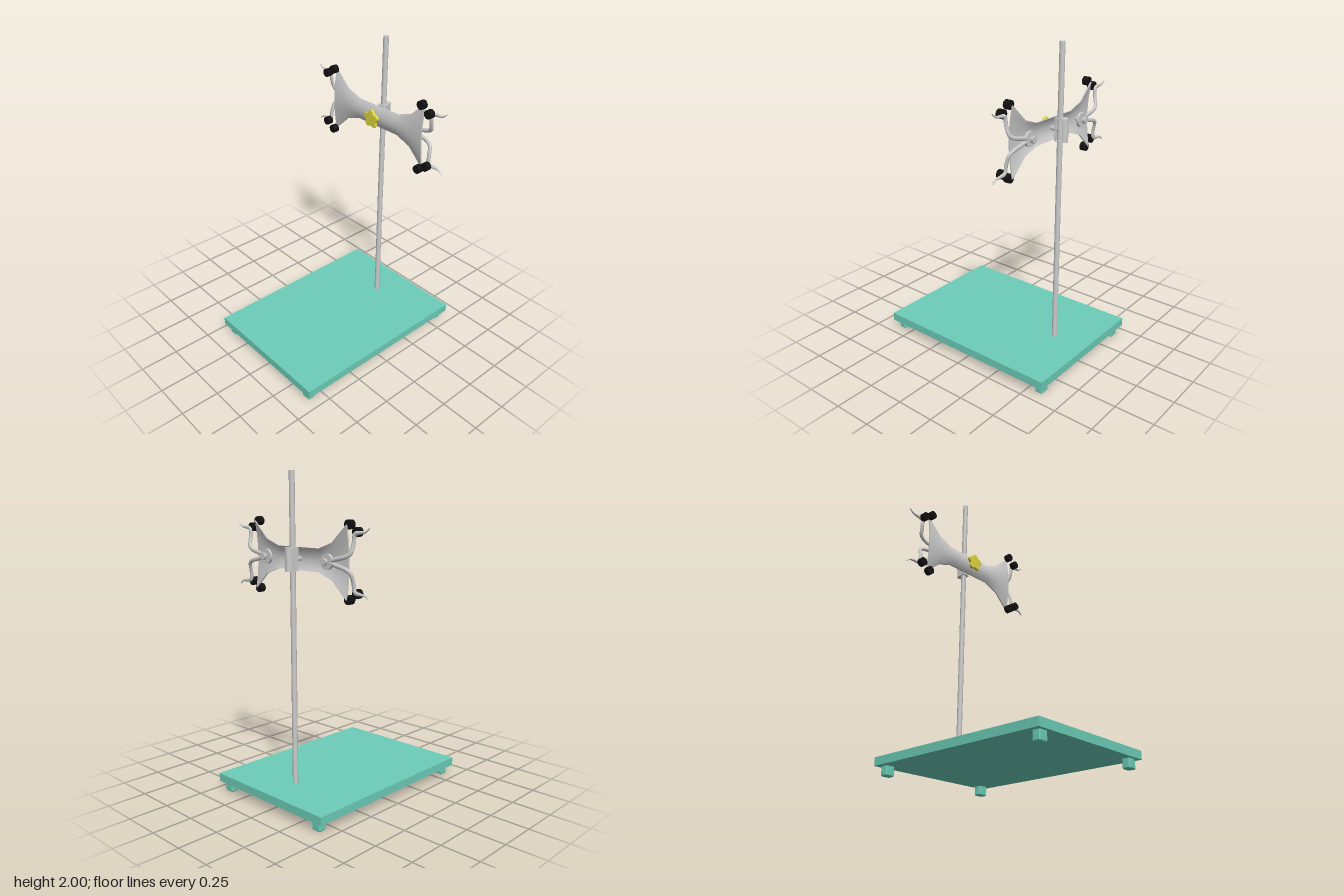
import * as THREE from 'three';
import { RoundedBoxGeometry } from 'three/addons/geometries/RoundedBoxGeometry.js';

const mat = (color) => new THREE.MeshStandardMaterial({ color, side: THREE.DoubleSide });
const CY = 1.494; // height of the clamp axis
const ROD_Z = -0.392;

export function createModel() {
  const grey = mat(0xcccccc), teal = mat(0x6ccdb8), black = mat(0x111111), yellow = mat(0xe0d840);
  const model = new THREE.Group();
  const add = (name, geo, material, x = 0, y = 0, z = 0, parent = model) => {
    const m = new THREE.Mesh(geo, material);
    m.name = name;
    m.position.set(x, y, z);
    parent.add(m);
    return m;
  };
  // cylinder lying along z
  const zCyl = (r, len, seg) => new THREE.CylinderGeometry(r, r, len, seg).rotateX(Math.PI / 2);

  // base board and its four feet
  add('base', new THREE.BoxGeometry(0.92, 0.052, 1.256), teal, 0, 0.086, 0);
  for (const sx of [-1, 1]) for (const sz of [-1, 1]) {
    add('foot', new RoundedBoxGeometry(0.064, 0.076, 0.052, 2, 0.01), teal, sx * 0.395, 0.038, sz * 0.58);
  }

  // upright rod
  add('rod', new THREE.CylinderGeometry(0.017, 0.017, 1.9, 16), grey, 0, 1.05, ROD_Z);

  // clamp body: flared shell, bowed across its height
  const stations = [-0.386, -0.275, -0.17, 0, 0.17, 0.275, 0.386];
  const halves = [0.209, 0.105, 0.068, 0.068, 0.068, 0.105, 0.209];
  const body = new THREE.BoxGeometry(6, 2, 1, 6, 12, 1);
  const p = body.attributes.position;
  for (let i = 0; i < p.count; i++) {
    const s = Math.round(p.getX(i) + 3), v = p.getY(i);
    p.setXYZ(i, stations[s], v * halves[s], -0.32 - 0.022 * v * v - (p.getZ(i) < 0 ? 0.009 : 0));
  }
  body.computeVertexNormals();
  add('clampBody', body, grey, 0, CY, 0);

  // hook that wraps the rod, open on one side, with a thin plate at each end
  const extrudeUp = (shape, depth) =>
    new THREE.ExtrudeGeometry(shape, { depth, bevelEnabled: false, curveSegments: 12 }).rotateX(-Math.PI / 2);
  const wall = new THREE.Shape();
  wall.moveTo(-0.024, 0.37);
  wall.lineTo(-0.024, 0.421);
  wall.absarc(0, 0.421, 0.024, Math.PI, 0, true);
  wall.lineTo(0.019, 0.421);
  wall.absarc(0, 0.421, 0.019, 0, Math.PI, false);
  wall.lineTo(-0.019, 0.37);
  wall.closePath();
  const cap = new THREE.Shape();
  cap.moveTo(0.024, 0.38);
  cap.lineTo(0.024, 0.421);
  cap.absarc(0, 0.421, 0.024, 0, Math.PI, false);
  cap.lineTo(-0.024, 0.38);
  cap.absarc(0, 0.386, 0.024, Math.PI, Math.PI * 2, false);
  const hook = new THREE.Group();
  hook.name = 'rodHook';
  model.add(hook);
  add('hookWall', extrudeUp(wall, 0.14), grey, 0, CY - 0.07, 0, hook);
  add('hookFront', new THREE.BoxGeometry(0.044, 0.14, 0.006), grey, 0, CY, -0.37, hook);
  for (const y of [-0.07, 0.065]) add('hookEnd', extrudeUp(cap, 0.005), grey, 0, CY + y, 0, hook);

  // tightening screw and five-lobed knob
  add('screw', zCyl(0.013, 0.11, 16), grey, 0, CY, -0.335);
  for (let i = 0; i < 5; i++) {
    add('screwThread', new THREE.TorusGeometry(0.0125, 0.0025, 6, 16), grey, 0, CY, -0.366 + i * 0.006);
  }
  const pts = [];
  for (let i = 0; i < 60; i++) {
    const a = (i / 60) * Math.PI * 2;
    const r = 0.05 + 0.008 * Math.cos(5 * a);
    pts.push(new THREE.Vector2(r * Math.sin(a), r * Math.cos(a)));
  }
  add('knob', new THREE.ExtrudeGeometry(new THREE.Shape(pts), {
    depth: 0.016, bevelThickness: 0.002, bevelSize: 0.002, bevelSegments: 1,
  }), yellow, 0, CY, -0.296);

  // gripping arm: bent bar whose outer end tapers to a thin finger
  const armGeometry = (sx, sy) => {
    const path = new THREE.CatmullRomCurve3([
      [0.26, 0, -0.37], [0.33, 0.018, -0.37], [0.395, 0.034, -0.368], [0.428, 0.055, -0.36],
      [0.438, 0.11, -0.345], [0.445, 0.158, -0.342], [0.485, 0.168, -0.342], [0.52, 0.172, -0.342], [0.55, 0.193, -0.342],
    ].map(([x, y, z]) => new THREE.Vector3(sx * x, sy * y, z)));
    const rings = 60, sides = 10;
    const geo = new THREE.TubeGeometry(path, rings, 0.013, sides);
    const pos = geo.attributes.position, v = new THREE.Vector3();
    for (let i = 0; i < pos.count; i++) {
      const t = Math.floor(i / (sides + 1)) / rings;
      const c = path.getPointAt(t);
      const k = t < 0.75 ? 1 : 1 - 0.85 * ((t - 0.75) / 0.25);
      v.fromBufferAttribute(pos, i).sub(c);
      v.set(v.x * k, v.y * k, v.z * 0.7 * Math.sqrt(k)).add(c);
      pos.setXYZ(i, v.x, v.y, v.z);
    }
    geo.computeVertexNormals();
    return geo;
  };

  // both jaws: pivot, two arms and four pads each
  for (const sx of [-1, 1]) {
    const jaw = new THREE.Group();
    jaw.name = sx > 0 ? 'leftJaw' : 'rightJaw';
    jaw.position.y = CY;
    model.add(jaw);
    add('pivotDisc', zCyl(0.046, 0.016, 24), grey, sx * 0.258, 0, -0.37, jaw);
    add('pivotPin', zCyl(0.011, 0.075, 12), grey, sx * 0.258, 0, -0.36, jaw);
    add('pivotBolt', zCyl(0.023, 0.018, 6), grey, sx * 0.258, 0, -0.396, jaw);
    for (const sy of [-1, 1]) {
      add('arm', armGeometry(sx, sy), grey, 0, 0, 0, jaw);
      add('bodyPad', zCyl(0.027, 0.036, 20), black, sx * 0.383, sy * 0.209, -0.317, jaw);
      add('armPad', zCyl(0.027, 0.036, 20), black, sx * 0.443, sy * 0.17, -0.317, jaw);
    }
  }
  return model;
}
